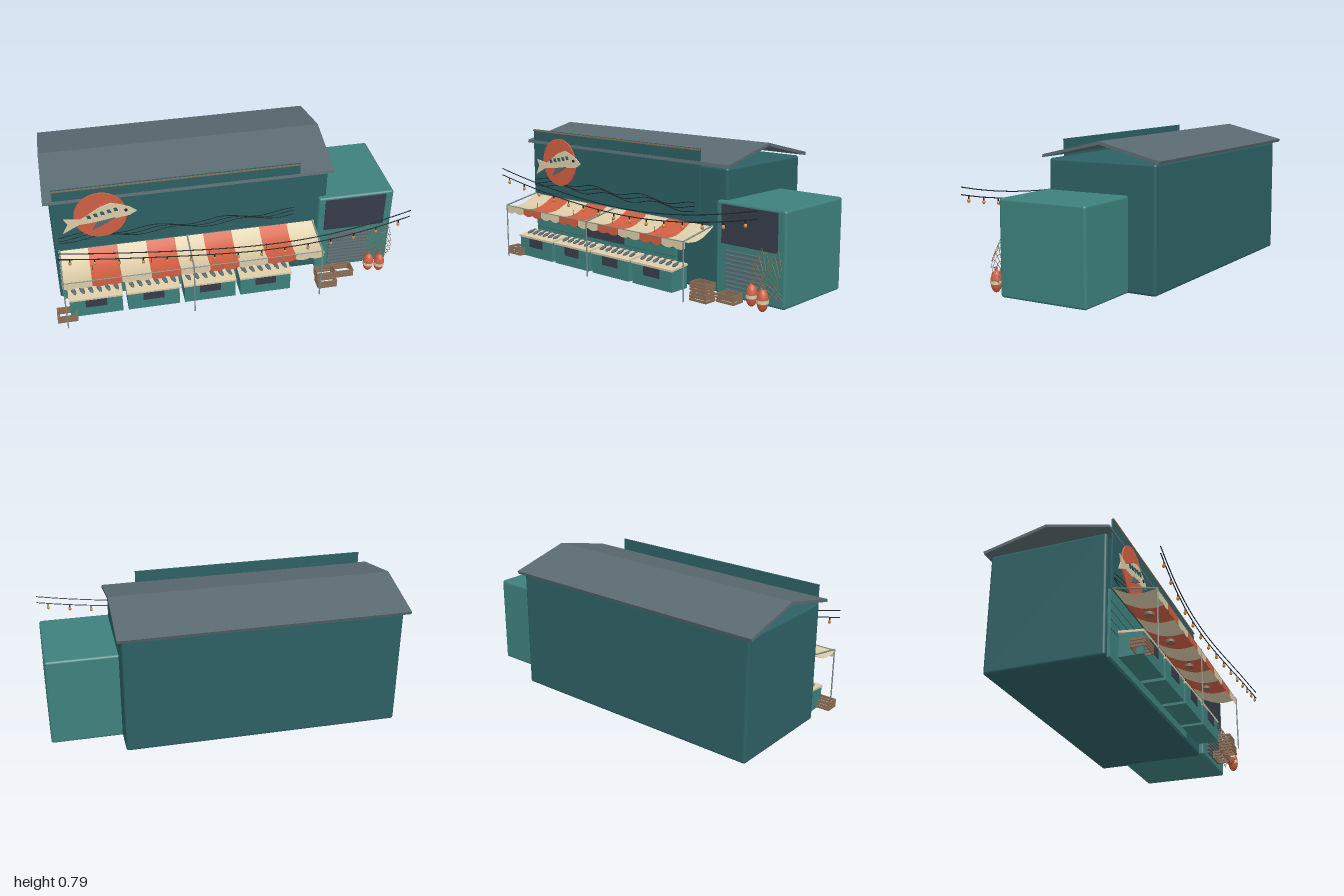
import * as THREE from 'three';
import { RoundedBoxGeometry } from 'three/addons/geometries/RoundedBoxGeometry.js';

const mat = (name, color, side = THREE.FrontSide) => {
  const m = new THREE.MeshStandardMaterial({ color, side });
  m.name = name;
  return m;
};
const V = (x, y, z) => new THREE.Vector3(x, y, z);

export function createModel() {
  const M = {
    dark: mat('deep teal', 0x2c6063),
    teal: mat('teal', 0x3d807c),
    slate: mat('slate', 0x5a6970),
    orange: mat('orange', 0xd05f42, THREE.DoubleSide),
    cream: mat('cream', 0xdccca8, THREE.DoubleSide),
    navy: mat('navy', 0x363c4a),
    wood: mat('wood', 0x8a6c55),
    amber: mat('amber', 0xd08a42),
    black: mat('black', 0x1f282c),
    metal: mat('metal', 0x7f8e8b),
  };
  const root = new THREE.Group();
  const group = (name, parent = root) => {
    const g = new THREE.Group();
    g.name = name;
    parent.add(g);
    return g;
  };
  const add = (name, geo, m, parent = root) => {
    const mesh = new THREE.Mesh(geo, m);
    mesh.name = name;
    parent.add(mesh);
    return mesh;
  };
  // box given by its limits on each axis
  const box = (name, x0, x1, y0, y1, z0, z1, m, parent = root, r = 0) => {
    const s = [x1 - x0, y1 - y0, z1 - z0];
    const mesh = add(name, r ? new RoundedBoxGeometry(...s, 3, r) : new THREE.BoxGeometry(...s), m, parent);
    mesh.position.set((x0 + x1) / 2, (y0 + y1) / 2, (z0 + z1) / 2);
    return mesh;
  };
  const rod = (name, a, b, r, m, parent = root, sides = 6) => {
    const mesh = add(name, new THREE.CylinderGeometry(r, r, a.distanceTo(b), sides), m, parent);
    mesh.position.copy(a).lerp(b, 0.5);
    mesh.quaternion.setFromUnitVectors(V(0, 1, 0), b.clone().sub(a).normalize());
    return mesh;
  };
  const plate = (name, pts, z, m, parent) => {
    const shape = new THREE.Shape(pts.map(p => new THREE.Vector2(...p)));
    const mesh = add(name, new THREE.ExtrudeGeometry(shape, { depth: 0.005, bevelEnabled: false }), m, parent);
    mesh.position.z = z;
    return mesh;
  };

  // buildings
  box('mainHall', -0.97, 0.59, 0, 0.685, -0.468, 0.19, M.dark, root, 0.015);
  box('annex', 0.54, 0.988, 0, 0.515, -0.303, 0.22, M.teal, root, 0.014);
  box('facadeBoard', -0.948, 0.418, 0.37, 0.775, 0.205, 0.214, M.dark);
  box('facadeTrim', -0.948, 0.418, 0.765, 0.773, 0.214, 0.219, M.wood);
  box('shopWall', -0.945, 0.24, 0, 0.37, 0.188, 0.205, M.teal);
  box('hatch', -0.48, -0.16, 0.155, 0.33, 0.2, 0.209, M.navy);
  const joints = group('wallJoints');
  for (const y of [0.15, 0.2, 0.25, 0.3])
    for (const [x0, x1] of [[-0.945, -0.48], [-0.16, 0.24]])
      box('joint', x0, x1, y, y + 0.003, 0.204, 0.207, M.dark, joints);

  // gable roof as one bent slab
  const roof = new THREE.Shape([[0.219, 0.689], [-0.14, 0.772], [-0.494, 0.686],
    [-0.5, 0.703], [-0.14, 0.79], [0.215, 0.706]].map(p => new THREE.Vector2(-p[0], p[1])));
  const roofMesh = add('roof', new THREE.ExtrudeGeometry(roof, { depth: 1.615, bevelEnabled: false }), M.slate);
  roofMesh.rotation.y = Math.PI / 2;
  roofMesh.position.x = -1;

  // round sign with a fish
  const sign = group('fishSign');
  const disc = add('disc', new THREE.CylinderGeometry(0.145, 0.145, 0.01, 32), M.orange, sign);
  disc.rotation.x = Math.PI / 2;
  disc.position.set(-0.7, 0.59, 0.222);
  plate('fishBody', [[-0.5, 0.598], [-0.54, 0.63], [-0.59, 0.652], [-0.64, 0.668], [-0.7, 0.648],
    [-0.76, 0.61], [-0.81, 0.578], [-0.9, 0.592], [-0.88, 0.555], [-0.91, 0.497], [-0.82, 0.545],
    [-0.76, 0.55], [-0.68, 0.558], [-0.6, 0.566], [-0.54, 0.575]], 0.228, M.cream, sign);
  plate('lowerFin', [[-0.62, 0.572], [-0.72, 0.555], [-0.75, 0.505], [-0.68, 0.535]], 0.234, M.slate, sign);
  for (let i = 0; i < 5; i++) {
    const x = -0.77 + i * 0.037, y = 0.583 + i * 0.008;
    plate('scaleMark', [[x, y], [x + 0.02, y], [x + 0.012, y + 0.022], [x - 0.006, y + 0.02]], 0.234, M.dark, sign);
  }
  const eye = add('eye', new THREE.CylinderGeometry(0.009, 0.009, 0.005, 12), M.black, sign);
  eye.rotation.x = Math.PI / 2;
  eye.position.set(-0.56, 0.613, 0.235);

  // painted wave lines
  const waves = group('waves');
  for (let k = 0; k < 3; k++) {
    const pts = [];
    for (let i = 0; i <= 60; i++) {
      const x = -0.94 + i * 0.0222;
      pts.push(V(x, 0.435 + k * 0.015 + 0.014 * Math.sin(x * 16 + k * 0.9), 0.219));
    }
    add('wave', new THREE.TubeGeometry(new THREE.CatmullRomCurve3(pts), 120, 0.0025, 4), M.black, waves);
  }

  // striped awning: sagging cloth and scalloped valance
  const awning = group('awning');
  const w = 1.465 / 9;
  for (let i = 0; i < 9; i++) {
    const m = i % 2 ? M.orange : M.cream, xc = -0.948 + w * (i + 0.5);
    const cloth = new THREE.PlaneGeometry(w, 1, 1, 8), p = cloth.attributes.position;
    for (let j = 0; j < p.count; j++) {
      const t = 0.5 - p.getY(j);
      p.setXYZ(j, p.getX(j) + xc, 0.366 - 0.046 * t - 0.03 * Math.sin(Math.PI * t), 0.215 + 0.231 * t);
    }
    cloth.computeVertexNormals();
    add('cloth', cloth, m, awning);
    for (const s of [-1, 0]) {
      const f = new THREE.Shape(), a = xc + s * w / 2, b = a + w / 2;
      f.moveTo(a, 0.32);
      f.lineTo(a, 0.287);
      f.quadraticCurveTo((a + b) / 2, 0.265, b, 0.287);
      f.lineTo(b, 0.32);
      add('valance', new THREE.ShapeGeometry(f, 6), m, awning).position.z = 0.446;
    }
  }
  for (const x of [-0.942, -0.225, 0.508]) {
    rod('awningPost', V(x, 0, 0.447), V(x, 0.325, 0.447), 0.004, M.metal, awning);
    rod('awningArm', V(x, 0.325, 0.447), V(x, 0.37, 0.212), 0.005, M.metal, awning);
  }
  rod('awningRail', V(-0.948, 0.322, 0.444), V(0.515, 0.322, 0.444), 0.003, M.metal, awning);

  // market counters with fish laid out, each under a hanging lamp
  for (let i = 0; i < 4; i++) {
    const g = group('counter' + (i + 1));
    g.position.x = -0.773 + i * 0.326;
    box('cabinet', -0.148, 0.148, 0, 0.122, 0.238, 0.365, M.teal, g);
    box('sign', -0.06, 0.06, 0.062, 0.116, 0.364, 0.369, M.navy, g);
    const top = group('display', g);
    top.position.set(0, 0.13, 0.303);
    top.rotation.x = 0.1;
    box('slab', -0.152, 0.152, -0.008, 0.004, -0.066, 0.068, M.cream, top);
    for (let k = 0; k < 6; k++) {
      const fish = group('fish', top);
      fish.position.set(-0.12 + k * 0.048, 0.01, 0);
      fish.rotation.y = 0.3;
      add('body', new THREE.SphereGeometry(1, 8, 6), M.slate, fish).scale.set(0.013, 0.008, 0.036);
      const tail = add('tail', new THREE.ConeGeometry(0.013, 0.024, 4), M.slate, fish);
      tail.rotation.x = Math.PI / 2;
      tail.scale.z = 0.4;
      tail.position.z = -0.038;
    }
    rod('lampCord', V(0, 0.295, 0.343), V(0, 0.345, 0.343), 0.0015, M.black, g);
    rod('lampShade', V(0, 0.276, 0.343), V(0, 0.292, 0.343), 0.026, M.wood, g, 12);
  }

  // annex window and louvres
  box('annexWindow', 0.58, 0.94, 0.29, 0.5, 0.217, 0.226, M.navy);
  const louvres = group('louvres');
  for (let i = 0; i < 10; i++)
    box('slat', 0.615, 0.85, 0.035 + i * 0.0235, 0.046 + i * 0.0235, 0.218, 0.236, M.slate, louvres);

  // string lights
  const lights = group('stringLights');
  const wire = (x, end, mid) =>
    V(x, mid + (end - mid) * ((x - 0.02) / 0.97) ** 2, 0.466 - 0.02 * Math.sin((x + 0.95) * Math.PI / 0.97));
  for (const [end, mid] of [[0.555, 0.445], [0.515, 0.408]]) {
    const pts = [];
    for (let i = 0; i <= 24; i++) pts.push(wire(-0.95 + i * 1.94 / 24, end, mid));
    add('wire', new THREE.TubeGeometry(new THREE.CatmullRomCurve3(pts), 60, 0.003, 5), M.black, lights);
  }
  for (let i = 0; i < 15; i++) {
    const p = wire(-0.89 + i * 0.1295, 0.515, 0.408);
    rod('socket', V(p.x, p.y - 0.018, p.z), p, 0.004, M.black, lights);
    const bulb = add('bulb', new THREE.SphereGeometry(0.009, 8, 6), M.amber, lights);
    bulb.scale.y = 1.3;
    bulb.position.set(p.x, p.y - 0.027, p.z);
  }

  // open slatted crates: x, y, z of base centre
  for (const [x, y, z] of [[-0.94, 0, 0.365], [0.57, 0, 0.365], [0.563, 0.052, 0.357], [0.692, 0, 0.292]]) {
    const g = group('crate');
    g.position.set(x, y, z);
    for (let k = 0; k < 3; k++) {
      const a = 0.002 + k * 0.017, b = a + 0.013;
      for (const s of [-1, 1]) {
        box('longSlat', -0.057, 0.057, a, b, s * 0.037 - 0.003, s * 0.037 + 0.003, M.wood, g);
        box('shortSlat', s * 0.054 - 0.003, s * 0.054 + 0.003, a, b, -0.034, 0.034, M.wood, g);
      }
    }
    for (const sx of [-1, 1]) for (const sz of [-1, 1])
      box('cornerPost', sx * 0.047 - 0.004, sx * 0.047 + 0.004, 0, 0.05, sz * 0.031 - 0.003, sz * 0.031 + 0.003, M.wood, g);
  }

  // buoys
  for (const [x, y] of [[0.845, 0.014], [0.914, 0]]) {
    const g = group('buoy');
    g.position.set(x, y + 0.06, 0.306);
    add('float', new THREE.SphereGeometry(1, 16, 12), M.orange, g).scale.set(0.031, 0.06, 0.031);
    const band = add('band', new THREE.CylinderGeometry(0.032, 0.032, 0.018, 16), M.cream, g);
    band.position.y = -0.004;
    const loop = add('ropeLoop', new THREE.TorusGeometry(0.01, 0.003, 5, 10), M.wood, g);
    loop.position.y = 0.068;
  }

  // draped fishing net
  const net = group('fishingNet');
  const knot = (i, j) => {
    const u = i / 10, v = j / 12, top = 0.25 + 0.06 * Math.abs(Math.sin(2 * Math.PI * u));
    return V(0.815 + 0.175 * u, top + (0.055 - top) * v, 0.233 + 0.045 * Math.sin(Math.PI * v));
  };
  for (let j = 0; j < 12; j++)
    for (let i = 0; i < 10; i++) {
      const odd = (i + j) % 2;
      rod('cord', knot(i + odd, j), knot(i + 1 - odd, j + 1), 0.0016, M.wood, net, 4);
    }
  return root;
}
